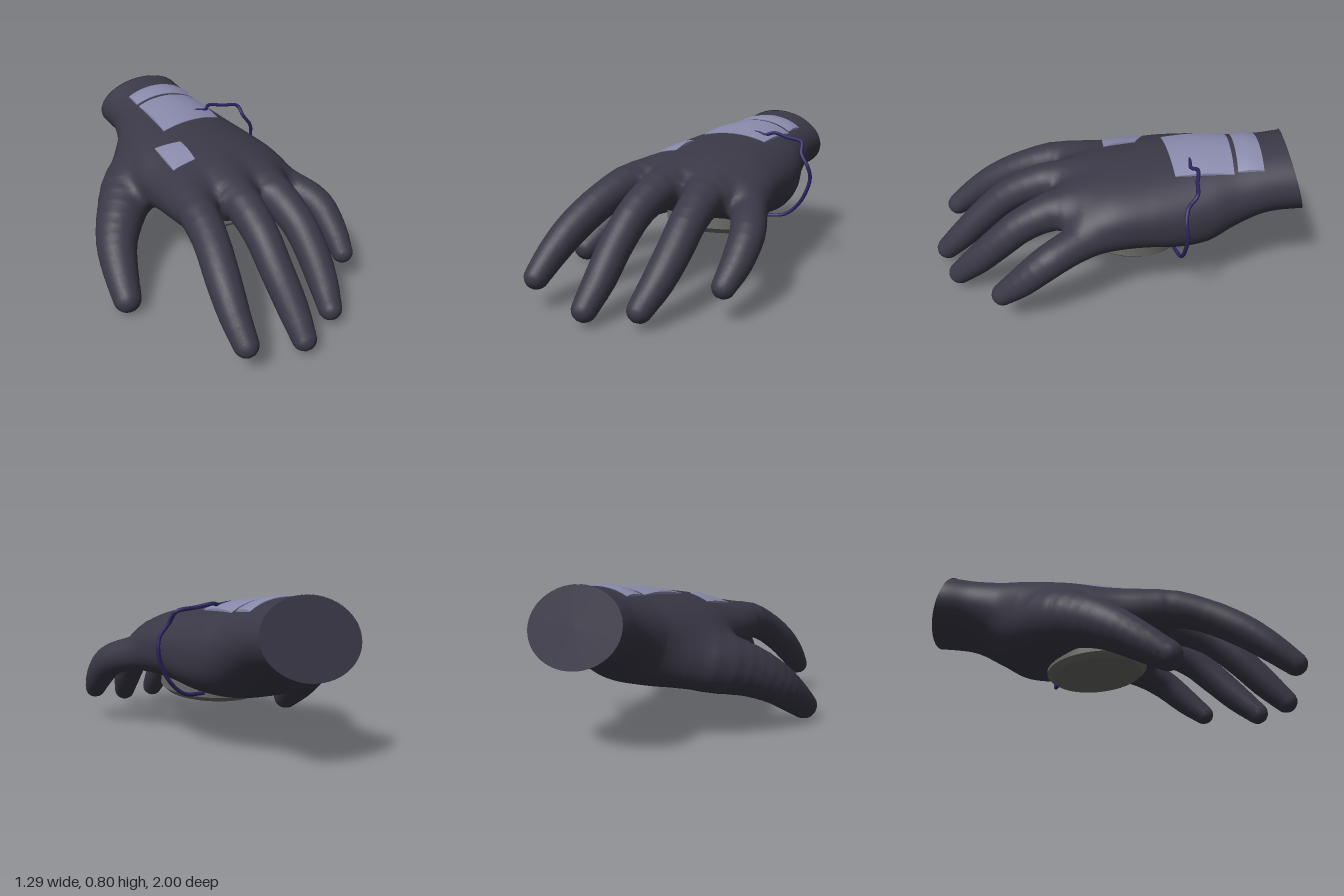
import * as THREE from 'three';
import { toCreasedNormals } from 'three/addons/utils/BufferGeometryUtils.js';

const V = (x, y, z) => new THREE.Vector3(x, y, z);
const { clamp, lerp, smoothstep } = THREE.MathUtils;
const material = (color) => new THREE.MeshStandardMaterial({ color });
const glove = material(0x3a3846), fabric = material(0x8888aa), metal = material(0x6a6a67), cord = material(0x2b2560);

// Wrist and palm sections: [z, xLeft, xRight, yTop, yBottom]
const PALM = [
  [-1.06, -0.21, 0.32, 0.80, 0.43],
  [-0.92, -0.21, 0.32, 0.80, 0.425],
  [-0.78, -0.20, 0.33, 0.785, 0.405],
  [-0.62, -0.235, 0.36, 0.77, 0.33],
  [-0.50, -0.295, 0.405, 0.757, 0.275],
  [-0.35, -0.335, 0.44, 0.74, 0.27],
  [-0.20, -0.34, 0.465, 0.725, 0.29],
  [0.00, -0.31, 0.485, 0.70, 0.325],
  [0.15, -0.295, 0.455, 0.665, 0.36],
  [0.25, -0.27, 0.39, 0.62, 0.395],
  [0.31, -0.22, 0.33, 0.57, 0.43],
];
const PALM_END = PALM[PALM.length - 1][0];

// Centre lines of the fingers: [x, y, z, radius]
const FINGERS = [
  [[-0.06, 0.46, -0.52, 0.14], [-0.28, 0.40, -0.33, 0.16], [-0.42, 0.335, -0.16, 0.135],
    [-0.51, 0.255, -0.02, 0.112], [-0.55, 0.17, 0.11, 0.095], [-0.575, 0.08, 0.25, 0.075]],
  [[-0.12, 0.51, -0.14, 0.1], [-0.185, 0.53, 0.25, 0.103], [-0.215, 0.475, 0.48, 0.091],
    [-0.25, 0.37, 0.67, 0.086], [-0.268, 0.265, 0.81, 0.076], [-0.27, 0.17, 0.925, 0.062]],
  [[0.06, 0.54, -0.12, 0.1], [0.045, 0.545, 0.28, 0.102], [0.04, 0.47, 0.52, 0.09],
    [0.04, 0.335, 0.69, 0.084], [0.05, 0.195, 0.83, 0.077], [0.05, 0.086, 0.94, 0.062]],
  [[0.2, 0.50, -0.14, 0.1], [0.26, 0.515, 0.23, 0.103], [0.295, 0.44, 0.45, 0.091],
    [0.31, 0.33, 0.59, 0.086], [0.305, 0.205, 0.72, 0.078], [0.285, 0.1, 0.83, 0.061]],
  [[0.26, 0.46, -0.22, 0.1], [0.385, 0.45, 0.04, 0.1], [0.475, 0.425, 0.2, 0.091],
    [0.545, 0.375, 0.33, 0.086], [0.565, 0.275, 0.455, 0.076], [0.56, 0.187, 0.56, 0.058]],
];

// Smooth interpolation of number rows
function blend(rows, k, f) {
  const row = (i) => rows[clamp(i, 0, rows.length - 1)];
  return rows[k].map((_, c) => {
    const [p, q, r, s] = [-1, 0, 1, 2].map((o) => row(k + o)[c]);
    const m = (r - p) / 2, n = (s - q) / 2;
    return q + m * f + (3 * (r - q) - 2 * m - n) * f * f + (2 * (q - r) + m + n) * f * f * f;
  });
}
const CHAINS = FINGERS.map((rows) => Array.from({ length: 16 }, (_, i) => {
  const k = Math.min(Math.floor(i / 3), 4);
  return blend(rows, k, i / 3 - k);
}));

function palmDistance(x, y, z) {
  const zc = Math.min(z, PALM_END);
  let k = 0;
  while (k < PALM.length - 2 && PALM[k + 1][0] <= zc) k++;
  const [, l, r, t, b] = blend(PALM, k, (zc - PALM[k][0]) / (PALM[k + 1][0] - PALM[k][0]));
  const rx = (r - l) / 2, ry = (t - b) / 2, dy = y - (t + b) / 2;
  // the underside of the palm is flatter than its back
  const p = dy > 0 ? 2 : lerp(2, 2.7, smoothstep(z, -0.75, -0.3));
  const u = Math.abs(x - (l + r) / 2) / rx + 1e-5, v = Math.abs(dy) / ry + 1e-5;
  const size = (u ** p + v ** p) ** (1 / p);
  const d = (size - 1) / (size ** (1 - p) * Math.hypot(u ** (p - 1) / rx, v ** (p - 1) / ry));
  return z > PALM_END ? Math.hypot(Math.max(d, 0), z - PALM_END) : d;
}

function chainDistance(chain, x, y, z) {
  let best = Infinity;
  for (let i = 0; i < chain.length - 1; i++) {
    const a = chain[i], b = chain[i + 1];
    const ex = b[0] - a[0], ey = b[1] - a[1], ez = b[2] - a[2], px = x - a[0], py = y - a[1], pz = z - a[2];
    const t = clamp((px * ex + py * ey + pz * ez) / (ex * ex + ey * ey + ez * ez), 0, 1);
    best = Math.min(best, Math.hypot(px - t * ex, py - t * ey, pz - t * ez) - lerp(a[3], b[3], t));
  }
  return best;
}

// Palm and fingers melted together
function melt(a, b, k) {
  const h = Math.max(k - Math.abs(a - b), 0) / k;
  return Math.min(a, b) - h * h * k / 4;
}
function handDistance(x, y, z) {
  const fingers = CHAINS.map((c) => chainDistance(c, x, y, z)).reduce((a, b) => melt(a, b, 0.025));
  return melt(palmDistance(x, y, z), fingers, 0.07);
}
function handNormal(x, y, z) {
  const e = 0.004, f = handDistance;
  return V(f(x + e, y, z) - f(x - e, y, z), f(x, y + e, z) - f(x, y - e, z), f(x, y, z + e) - f(x, y, z - e)).normalize();
}
const wristZ = (y) => -0.94 + 0.32 * (y - 0.615);

// Even mesh over the hand: one vertex per crossed grid cell, one quad per crossed grid edge
function handGeometry() {
  const step = 0.022, min = [-0.7, -0.05, -1.04], size = [65, 43, 96];
  const stride = [1, size[0], size[0] * size[1]], total = stride[2] * size[2];
  const coords = (id) => [id % size[0], Math.floor(id / stride[1]) % size[1], Math.floor(id / stride[2])];
  const value = new Float32Array(total), vertex = new Int32Array(total).fill(-1);
  for (let id = 0; id < total; id++) value[id] = handDistance(...coords(id).map((c, a) => min[a] + c * step));

  const points = [], normals = [], index = [];
  for (let id = 0; id < total; id++) {
    const cell = coords(id);
    if (cell.some((c, a) => c >= size[a] - 1)) continue;
    const sum = [0, 0, 0];
    let count = 0;
    const corner = (c) => value[id + (c & 1) + ((c >> 1) & 1) * stride[1] + (c >> 2) * stride[2]];
    for (let c = 0; c < 8; c++) {
      for (let a = 0; a < 3; a++) {
        const bit = 1 << a, v0 = corner(c), v1 = corner(c | bit);
        if (c & bit || v0 < 0 === v1 < 0) continue;
        for (let o = 0; o < 3; o++) sum[o] += o === a ? v0 / (v0 - v1) : (c >> o) & 1;
        count++;
      }
    }
    if (!count) continue;
    vertex[id] = points.length;
    const p = V(...sum.map((s, a) => min[a] + (cell[a] + s / count) * step));
    const n = handNormal(...p);
    p.addScaledVector(n, -handDistance(...p));
    // cut the wrist off along a slanted plane
    p.z = Math.max(p.z, wristZ(p.y));
    points.push(p);
    normals.push(...n);
  }
  for (let id = 0; id < total; id++) {
    const cell = coords(id);
    if (cell.some((c, a) => c < 1 || c >= size[a] - 1)) continue;
    for (let a = 0; a < 3; a++) {
      const inside = value[id] < 0, u = stride[(a + 1) % 3], v = stride[(a + 2) % 3];
      if (inside === value[id + stride[a]] < 0) continue;
      const q = [id - u - v, id - v, id, id - u].map((c) => vertex[c]);
      if (!inside) q.reverse();
      index.push(q[0], q[1], q[2], q[0], q[2], q[3]);
    }
  }
  const geometry = new THREE.BufferGeometry().setFromPoints(points);
  geometry.setAttribute('normal', new THREE.Float32BufferAttribute(normals, 3));
  return geometry.setIndex(index);
}

// Flat oval closing the wrist
function wristGeometry() {
  const geometry = new THREE.CircleGeometry(1, 64).rotateY(Math.PI).scale(0.265, 0.186, 1).translate(0.055, 0.614, 0);
  const p = geometry.attributes.position;
  for (let i = 0; i < p.count; i++) p.setZ(i, wristZ(p.getY(i)));
  geometry.computeVertexNormals();
  return geometry;
}

// Padded patch hugging the back of the hand; z pairs are [at x0, at x1]
function patchGeometry(x0, x1, zBack, zFront) {
  const n = 16, geometry = new THREE.PlaneGeometry(1, 1, n, n).rotateX(-Math.PI / 2);
  const p = geometry.attributes.position;
  for (let i = 0; i < p.count; i++) {
    const col = i % (n + 1), row = Math.floor(i / (n + 1));
    const u = clamp((col - 1) / (n - 2), 0, 1), v = clamp((row - 1) / (n - 2), 0, 1);
    const x = lerp(x0, x1, u), z = lerp(lerp(...zBack, u), lerp(...zFront, u), v);
    let y = 0.9;
    for (let s = 0; s < 30; s++) y -= 0.9 * handDistance(x, y, z);
    const border = col % n === 0 || row % n === 0;
    p.setXYZ(i, x, y + (border ? -0.02 : 0.004 + 0.008 * Math.sin(Math.PI * v)), z);
  }
  return toCreasedNormals(geometry, 0.7);
}

export function createModel() {
  const model = new THREE.Group();
  const add = (name, geometry, mat) => {
    const mesh = new THREE.Mesh(geometry, mat);
    mesh.name = name;
    model.add(mesh);
    return mesh;
  };
  add('hand', handGeometry(), glove);
  add('wristEnd', wristGeometry(), glove);
  add('wristPatch', patchGeometry(-0.1, 0.26, [-0.745, -0.755], [-0.625, -0.625]), fabric);
  add('largePatch', patchGeometry(-0.1, 0.27, [-0.6, -0.605], [-0.26, -0.31]), fabric);
  add('knucklePatch', patchGeometry(-0.2, -0.07, [-0.17, -0.12], [0.06, 0.05]), fabric);

  // Chamfered disc under the palm
  const profile = [[0, -0.055], [0.25, -0.055], [0.28, -0.028], [0.28, 0.045], [0, 0.045]];
  const lathe = new THREE.LatheGeometry(profile.map(([x, y]) => new THREE.Vector2(x, y)), 48);
  const disc = add('palmDisc', toCreasedNormals(lathe, 0.5), metal);
  disc.position.set(0.105, 0.31, -0.09);
  disc.rotation.x = -0.1;

  // Cable from the large patch round to the disc
  const path = [[0.13, 0.735, -0.385], [0.18, 0.735, -0.39], [0.23, 0.727, -0.39], [0.27, 0.738, -0.42],
    [0.36, 0.722, -0.41], [0.455, 0.705, -0.4], [0.475, 0.65, -0.36], [0.52, 0.585, -0.35],
    [0.533, 0.52, -0.36], [0.51, 0.43, -0.355], [0.46, 0.35, -0.35], [0.39, 0.295, -0.34], [0.24, 0.28, -0.3]];
  add('cable', new THREE.TubeGeometry(new THREE.CatmullRomCurve3(path.map((p) => V(...p))), 90, 0.01, 8), cord);
  return model;
}
